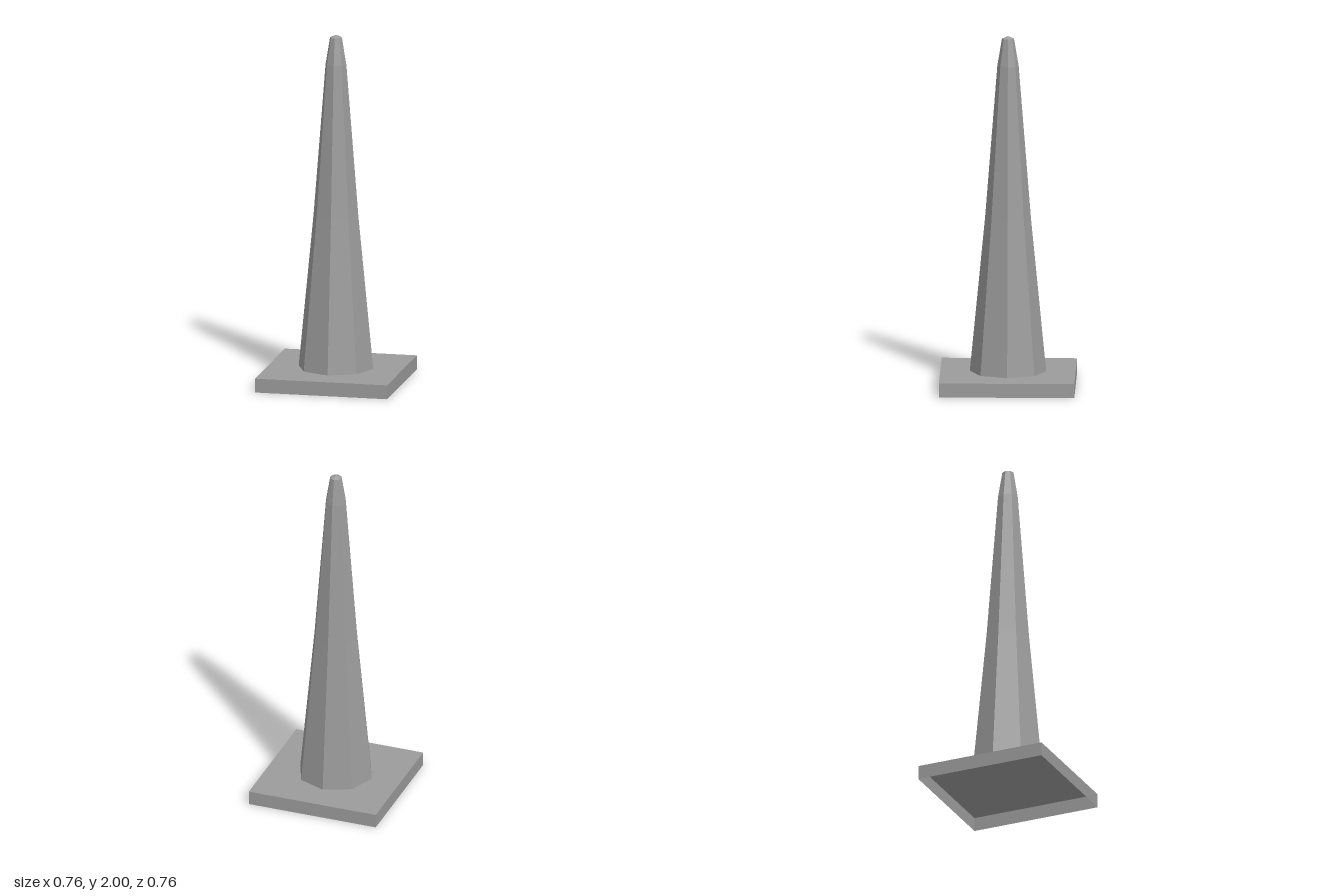
import * as THREE from 'three';

export function createModel() {
  const group = new THREE.Group();
  const material = new THREE.MeshStandardMaterial({
    color: 0x9b9b9b, flatShading: true, side: THREE.DoubleSide,
  });

  // Square foot: a shallow tray turned upside down, open underneath
  const footHeight = 0.08;
  const footGeometry = new THREE.BoxGeometry(0.762, footHeight, 0.762);
  const faces = Array.from(footGeometry.index.array);
  faces.splice(18, 6); // drop the bottom face
  footGeometry.setIndex(faces);
  footGeometry.clearGroups();
  const foot = new THREE.Mesh(footGeometry, material);
  foot.name = 'foot';
  foot.position.y = footHeight / 2;
  group.add(foot);

  // Eight-sided tapering cone, closed below, with a bevelled, shallow pointed tip
  const profile = [
    [0, footHeight], [0.215, footHeight], [0.129, 0.96], [0.06, 1.83], [0.034, 1.985], [0, 2],
  ].map(([r, y]) => new THREE.Vector2(r, y));
  const cone = new THREE.Mesh(new THREE.LatheGeometry(profile, 8), material);
  cone.name = 'cone';
  group.add(cone);

  return group;
}
